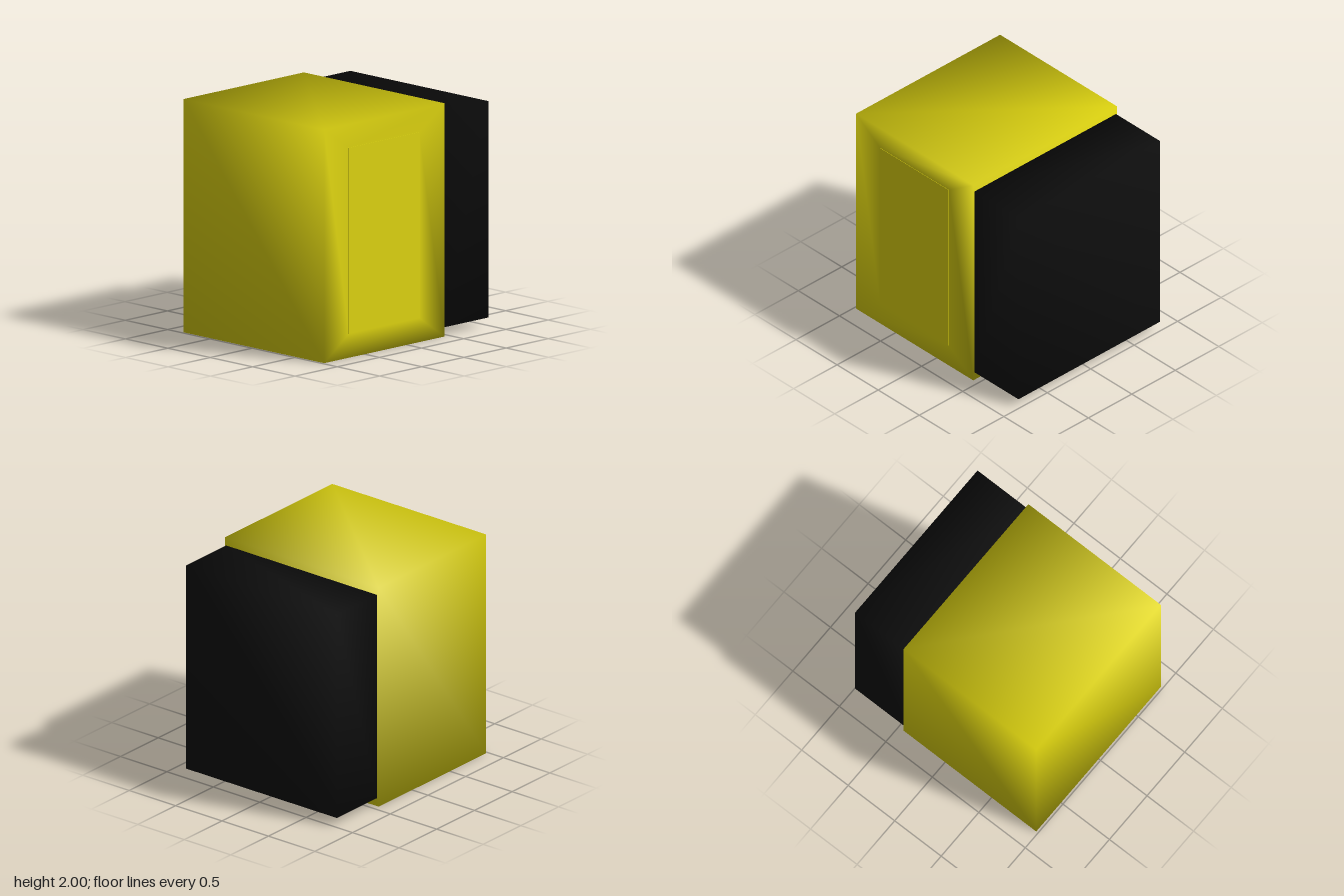
import * as THREE from 'three';

const yellow = new THREE.MeshStandardMaterial({ name: 'yellow', color: 0xded410 });
const black = new THREE.MeshStandardMaterial({ name: 'black', color: 0x0e0e0e });

// Closed block from rectangular rings [x0, x1, y0, y1, z], back to front.
// Corners are shared, so the shading runs smoothly round the edges.
function ringBlock(name, rings, material) {
  const positions = [];
  const index = [];
  for (const [x0, x1, y0, y1, z] of rings) {
    positions.push(x0, y0, z, x1, y0, z, x1, y1, z, x0, y1, z);
  }
  for (let r = 0; r < rings.length - 1; r++) {
    for (let i = 0; i < 4; i++) {
      const a = r * 4 + i;
      const b = r * 4 + (i + 1) % 4;
      index.push(a, b, b + 4, a, b + 4, a + 4);
    }
  }
  const f = (rings.length - 1) * 4;
  index.push(0, 2, 1, 0, 3, 2); // back cap
  index.push(f, f + 1, f + 2, f, f + 2, f + 3); // front cap
  const geometry = new THREE.BufferGeometry();
  geometry.setAttribute('position', new THREE.Float32BufferAttribute(positions, 3));
  geometry.setIndex(index);
  geometry.computeVertexNormals();
  const mesh = new THREE.Mesh(geometry, material);
  mesh.name = name;
  return mesh;
}

export function createModel() {
  const group = new THREE.Group();
  group.name = 'twoToneBlock';

  // Main body, with an inset frame on the front face
  group.add(ringBlock('body', [
    [-0.98, 0.445, 0, 2, -0.83],
    [-0.98, 0.445, 0, 2, 0.827],
    [-0.69, 0.15, 0.205, 1.8, 0.827],
  ], yellow));

  // Thin flat panel inside the frame
  const panel = new THREE.Mesh(new THREE.BoxGeometry(0.84, 1.595, 0.004), yellow);
  panel.name = 'frontPanel';
  panel.position.set(-0.27, 1.0025, 0.828);
  group.add(panel);

  // Slightly smaller block on the left side
  group.add(ringBlock('sideBlock', [
    [0.44, 0.98, 0.075, 1.93, -0.815],
    [0.44, 0.98, 0.075, 1.93, 0.812],
  ], black));

  return group;
}
